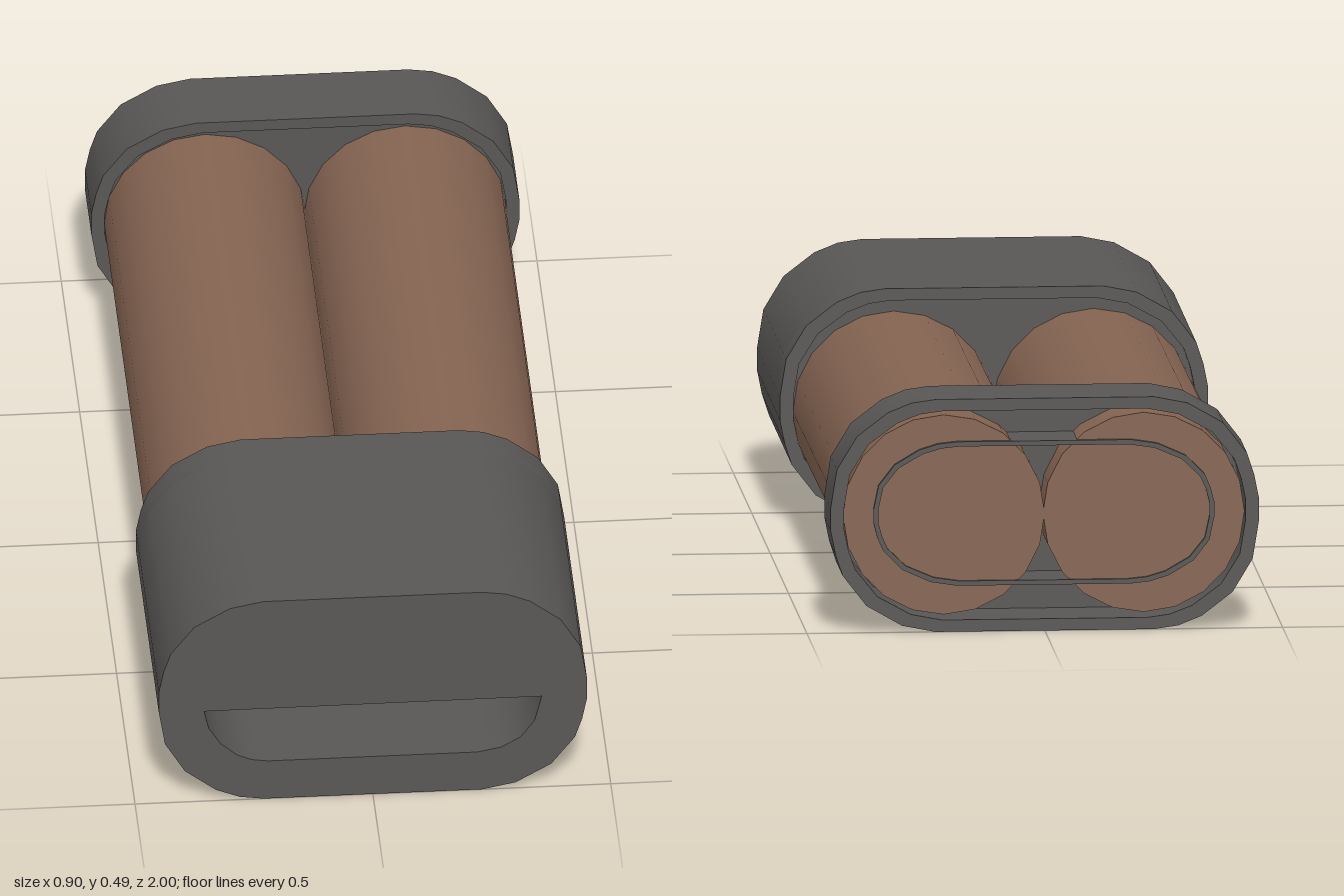
import * as THREE from 'three';
import { toCreasedNormals } from 'three/addons/utils/BufferGeometryUtils.js';

const grey = new THREE.MeshStandardMaterial({ color: 0x595755 });
grey.name = 'dark grey casing';
const brown = new THREE.MeshStandardMaterial({ color: 0x856452 });
brown.name = 'brown barrel';

const CY = 0.25;

// Right half of the rounded outline, bottom to top; the left half is its half turn.
const half = [
  [0.23, 0.003], [0.3, 0.017], [0.375, 0.06], [0.425, 0.125], [0.44, 0.17], [0.45, 0.22],
  [0.45, 0.27], [0.437, 0.35], [0.395, 0.42], [0.33, 0.47], [0.28, 0.49], [0.23, 0.497],
];

// Outline scaled about its centre to the given half width and half height
function outline(halfWidth = 0.45, halfHeight = 0.247) {
  const points = [];
  for (const sign of [1, -1]) {
    for (const [x, y] of half) {
      points.push(new THREE.Vector2(
        sign * x * halfWidth / 0.45,
        CY + sign * (y - CY) * halfHeight / 0.247,
      ));
    }
  }
  return points;
}

// Lower opening of the front casing
const slot = [
  [-0.355, 0.228], [-0.345, 0.185], [-0.32, 0.145], [-0.285, 0.115], [-0.255, 0.102], [-0.22, 0.097],
  [0.22, 0.097], [0.27, 0.107], [0.31, 0.13], [0.34, 0.17], [0.355, 0.23],
].map(([x, y]) => new THREE.Vector2(x, y));

function slab(name, points, z0, z1, hole) {
  const shape = new THREE.Shape(points);
  if (hole) shape.holes.push(new THREE.Path(hole));
  const geometry = new THREE.ExtrudeGeometry(shape, { depth: z1 - z0, bevelEnabled: false });
  geometry.translate(0, 0, z0);
  const mesh = new THREE.Mesh(toCreasedNormals(geometry, 0.6), grey);
  mesh.name = name;
  return mesh;
}

export function createModel() {
  const model = new THREE.Group();
  model.name = 'twinBarrelBody';
  const rim = outline(0.422, 0.222);

  // Front casing: slotted body, closed rear wall and a shallow rim round the barrels
  const front = new THREE.Group();
  front.name = 'frontCasing';
  front.add(
    slab('slottedBody', outline(), 0.45, 1, slot),
    slab('rearWall', outline(), 0.395, 0.45),
    slab('rearRim', outline(), 0.38, 0.395, rim),
  );

  // Back casing: hollow band with an inner wall and a thin inner sleeve
  const back = new THREE.Group();
  back.name = 'backCasing';
  back.add(
    slab('band', outline(), -1, -0.83, rim),
    slab('innerWall', outline(0.43, 0.23), -0.865, -0.845),
    slab('innerSleeve', outline(0.358, 0.153), -0.98, -0.86, outline(0.348, 0.143)),
  );
  model.add(front, back);

  // Two side-by-side barrels, rising slightly toward the back
  const z0 = 0.42, z1 = -0.972;
  for (const side of [1, -1]) {
    const barrel = new THREE.Mesh(new THREE.CylinderGeometry(0.212, 0.212, z0 - z1, 20), brown);
    barrel.name = side > 0 ? 'leftBarrel' : 'rightBarrel';
    barrel.rotation.x = Math.PI / 2 + 0.009;
    barrel.position.set(side * 0.21, 0.241, (z0 + z1) / 2);
    model.add(barrel);
  }
  return model;
}
